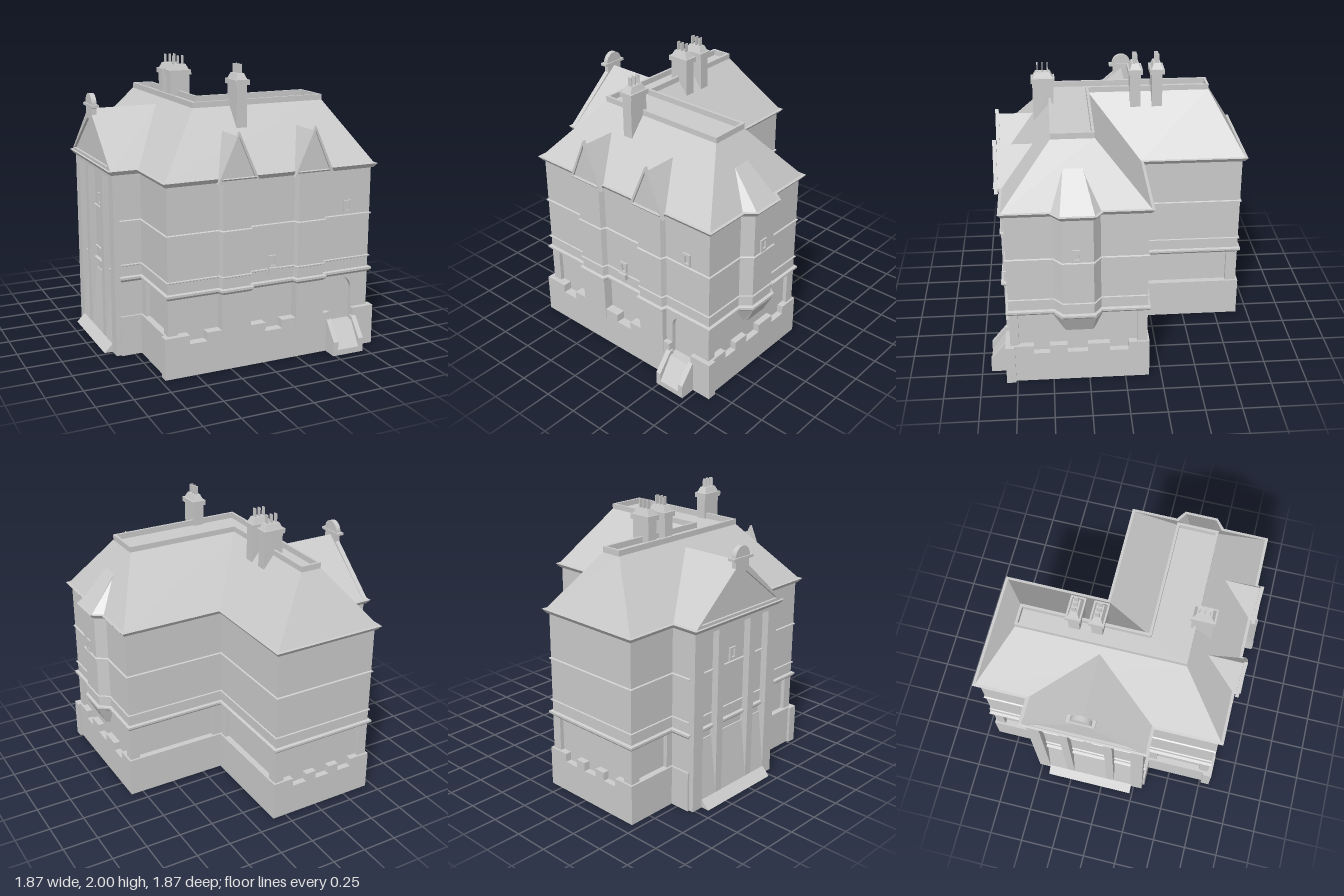
import * as THREE from 'three';

const material = new THREE.MeshStandardMaterial({ color: 0xcccccc, side: THREE.DoubleSide });
const BAYS = [-0.21, 0.345];

function add(parent, name, geometry, x = 0, y = 0, z = 0) {
  const mesh = new THREE.Mesh(geometry, material);
  mesh.name = name;
  mesh.position.set(x, y, z);
  parent.add(mesh);
  return mesh;
}

// Box given by its limits on each axis
function block(parent, name, x0, x1, y0, y1, z0, z1) {
  return add(parent, name, new THREE.BoxGeometry(x1 - x0, y1 - y0, z1 - z0),
    (x0 + x1) / 2, (y0 + y1) / 2, (z0 + z1) / 2);
}

// Closed plan moved outwards with mitred corners
function offset(points, amount) {
  const normal = (a, b) => {
    const dx = b[0] - a[0], dz = b[1] - a[1], l = Math.hypot(dx, dz);
    return [-dz / l, dx / l];
  };
  return points.map((p, i) => {
    const n = normal(points.at(i - 1), p), m = normal(p, points[(i + 1) % points.length]);
    const k = amount / (1 + n[0] * m[0] + n[1] * m[1]);
    return [p[0] + k * (n[0] + m[0]), p[1] + k * (n[1] + m[1])];
  });
}

// Flat-sided skin through stacked rings of [points, height]
function loft(rings) {
  const out = [];
  for (let r = 0; r < rings.length - 1; r++) {
    const [p, y] = rings[r], [q, h] = rings[r + 1];
    for (let i = 0; i < p.length; i++) {
      const j = (i + 1) % p.length;
      const a = [p[i][0], y, p[i][1]], b = [p[j][0], y, p[j][1]];
      const c = [q[j][0], h, q[j][1]], d = [q[i][0], h, q[i][1]];
      out.push(...a, ...b, ...c, ...a, ...c, ...d);
    }
  }
  const g = new THREE.BufferGeometry();
  g.setAttribute('position', new THREE.Float32BufferAttribute(out, 3));
  g.computeVertexNormals();
  return g;
}

const profile = (points, steps) => loft(steps.map(([o, y]) => [offset(points, o), y]));
const shapeOf = pts => new THREE.Shape(pts.map(p => new THREE.Vector2(...p)));
const extrude = (shape, depth) =>
  new THREE.ExtrudeGeometry(shape, { depth, bevelEnabled: false, curveSegments: 8 });

// House outline, each edge running left to right as seen from outside
function plan(left, details = true) {
  const bays = BAYS.flatMap(c => [[c - 0.112, 0.79], [c - 0.1, 0.83], [c + 0.1, 0.83], [c + 0.112, 0.79]]);
  const oriel = [[0.825, 0.48], [0.895, 0.42], [0.895, 0.215], [0.825, 0.165]];
  return [[-0.685, 0.79], ...(details ? bays : []), [0.825, 0.79], ...(details ? oriel : []),
    [0.825, -0.15], [0.085, -0.15], [0.085, -0.9], [-0.685, -0.9],
    [-0.685, -0.52], [left, -0.52], [left, 0.315], [-0.685, 0.315]];
}

// Ground-floor wall from a to b with sunk panels and a notched plinth
function facade(parent, name, a, b, panels = [], notches = [], plinth = 0.015, door = null) {
  const g = new THREE.Group();
  const dx = b[0] - a[0], dz = b[1] - a[1], l = Math.hypot(dx, dz);
  g.name = name;
  g.position.set(a[0], 0, a[1]);
  g.rotation.y = Math.atan2(-dz, dx);
  const wall = shapeOf([[0, 0], [l, 0], [l, 0.55], [0, 0.55]]);
  for (const [s, e] of panels) wall.holes.push(shapeOf([[s, 0.2], [e, 0.2], [e, 0.53], [s, 0.53]]));
  if (door) {
    const arch = shapeOf([[door[0], 0.2], [door[1], 0.2], [door[1], 0.43]]);
    arch.absarc((door[0] + door[1]) / 2, 0.425, (door[1] - door[0]) / 2, 0, Math.PI);
    wall.holes.push(arch);
  }
  add(g, 'panelledWall', extrude(wall, 0.03), 0, 0, -0.03);
  const top = notches.flatMap(([s, e, y = 0.225]) => [[s, 0.285], [s, y], [e, y], [e, 0.285]]);
  const base = [[-plinth, 0], [-plinth, 0.285], ...top, [l + plinth, 0.285], [l + plinth, 0]];
  add(g, 'plinth', extrude(shapeOf(base), plinth + 0.03), 0, 0, -0.03);
  parent.add(g);
}

// Gable wall with a raised sloping rim, facing +z
function gable(parent, name, half, base, apex, depth, rim) {
  const g = new THREE.Group();
  const tri = (w, y, t) => [[-w, y], [w, y], [0, t]];
  const frame = shapeOf(tri(half, base, apex));
  frame.holes.push(shapeOf(tri(half - rim * 1.3, base + 0.02, apex - rim * 1.6)));
  g.name = name;
  add(g, 'gableWall', extrude(shapeOf(tri(half - 0.005, base, apex - 0.01)), depth / 2));
  add(g, 'gableRim', extrude(frame, depth));
  parent.add(g);
  return g;
}

function chimney(parent, x, z, bottom, turned) {
  const g = new THREE.Group();
  g.name = 'chimney';
  block(g, 'shaft', -0.0375, 0.0375, bottom, 1.87, -0.0725, 0.0725);
  block(g, 'cap', -0.052, 0.052, 1.865, 1.9, -0.082, 0.082);
  const rect = (w, d) => [[-w, d], [w, d], [w, -d], [-w, -d]];
  add(g, 'capSlope', loft([[rect(0.04, 0.07), 1.9], [rect(0.025, 0.05), 1.94], [rect(0, 0), 1.94]]));
  for (const p of [-0.035, 0, 0.035]) block(g, 'pot', -0.015, 0.015, 1.93, 2, p - 0.004, p + 0.004);
  g.position.set(x, 0, z);
  if (turned) g.rotation.y = Math.PI / 2;
  parent.add(g);
}

function hatch(parent, x, y, z, turn = 0) {
  const frame = shapeOf([[-0.03, -0.045], [0.03, -0.045], [0.03, 0.045], [-0.03, 0.045]]);
  frame.holes.push(shapeOf([[-0.012, -0.025], [0.02, -0.025], [0.02, 0.03], [-0.012, 0.03]]));
  add(parent, 'smallWindow', extrude(frame, 0.014), x, y, z).rotation.y = turn;
}

export function createModel() {
  const house = new THREE.Group();
  house.name = 'house';

  // Ground floor: hollow core and wall faces
  add(house, 'innerWall', profile(plan(-0.83, false), [[-0.03, 0], [-0.03, 0.56]]));
  facade(house, 'frontGround', [-0.685, 0.79], [0.825, 0.79], [[0.07, 0.37], [0.58, 0.925]],
    [[0.14, 0.265], [0.695, 0.82], [1.19, 1.38, 0.2]], 0.035, [1.19, 1.38]);
  facade(house, 'rightGround', [0.825, 0.79], [0.825, -0.15], [[0.06, 0.87]],
    [[0.16, 0.27], [0.39, 0.53], [0.68, 0.81]]);
  facade(house, 'courtGround', [0.825, -0.15], [0.085, -0.15], [[0.07, 0.67]]);
  facade(house, 'rearWingGround', [0.085, -0.15], [0.085, -0.9], [[0.07, 0.67]]);
  facade(house, 'backGround', [0.085, -0.9], [-0.685, -0.9], [[0.07, 0.7]],
    [[0.14, 0.25], [0.33, 0.44], [0.52, 0.63]]);
  facade(house, 'rearLeftGround', [-0.685, -0.9], [-0.685, -0.52], [[0.07, 0.33]]);
  facade(house, 'sideWingBack', [-0.685, -0.52], [-0.83, -0.52]);
  facade(house, 'sideWingFront', [-0.83, 0.315], [-0.685, 0.315]);
  facade(house, 'frontLeftGround', [-0.685, 0.315], [-0.685, 0.79], [[0.07, 0.405]]);
  for (const c of BAYS) block(house, 'bayFoot', c - 0.106, c + 0.106, 0.2, 0.55, 0.76, 0.83);

  // Upper walls with cornice and string courses
  add(house, 'upperWalls', profile(plan(-0.83), [
    [-0.01, 0.53], [0, 0.53], [0.02, 0.55], [0.02, 0.565], [0, 0.57],
    [0, 0.64], [0.01, 0.645], [0.01, 0.652], [0, 0.655],
    [0, 0.95], [0.01, 0.952], [0.01, 0.96], [0, 0.965], [0, 1.28]]));
  add(house, 'eaves', profile(plan(-0.88), [[-0.015, 1.275], [0.012, 1.28], [0.035, 1.31], [-0.015, 1.315]]));

  // Oriel foot and roof
  const oriel = [[0.82, 0.5], [0.91, 0.43], [0.91, 0.205], [0.82, 0.15]];
  const foot = [[0.82, 0.42], [0.845, 0.405], [0.845, 0.225], [0.82, 0.21]];
  add(house, 'orielFoot', loft([[foot.map(() => [0.83, 0.315]), 0.41], [foot, 0.41], [oriel, 0.54]]));
  add(house, 'orielRoof', loft([[oriel, 1.312],
    [[[0.69, 0.4], [0.703, 0.4], [0.703, 0.27], [0.69, 0.27]], 1.55]]));

  // Main hipped roof with a sunken flat top
  const eave = [[-0.7, 0.805], [0.84, 0.805], [0.84, -0.165], [0.1, -0.165], [0.1, -0.915], [-0.7, -0.915]];
  const flat = [[-0.365, 0.47], [0.605, 0.47], [0.605, 0.19], [-0.22, 0.19], [-0.22, -0.68], [-0.365, -0.68]];
  add(house, 'mainRoof', loft([[eave, 1.312], [flat, 1.72]]));
  add(house, 'roofParapet', profile(flat, [[0.003, 1.71], [0.003, 1.755], [-0.015, 1.755], [-0.015, 1.715]]));
  add(house, 'flatTop', new THREE.ShapeGeometry(shapeOf(flat.map(([x, z]) => [x, -z]))), 0, 1.715, 0)
    .rotation.x = -Math.PI / 2;

  // Side wing: roof, gable and crowning finial
  const pitch = extrude(shapeOf([[-0.43, 1.312], [0.43, 1.312], [0, 1.67]]), 0.49);
  add(house, 'sideWingRoof', pitch, -0.39, 0, -0.1).rotation.y = -Math.PI / 2;
  const sideGable = gable(house, 'sideGable', 0.435, 1.31, 1.69, 0.035, 0.035);
  sideGable.position.set(-0.865, 0, -0.1);
  sideGable.rotation.y = -Math.PI / 2;
  block(house, 'finialBlock', -0.9, -0.865, 1.6, 1.69, -0.165, -0.035);
  block(house, 'finialLedge', -0.91, -0.857, 1.685, 1.703, -0.195, -0.005);
  const disc = new THREE.CylinderGeometry(0.072, 0.072, 0.035, 20);
  add(house, 'finial', disc, -0.8825, 1.703, -0.1).rotation.z = Math.PI / 2;

  // Side wing buttresses, head beam and sloping foot
  for (const [z, w] of [[-0.475, 0.09], [-0.26, 0.06], [0.06, 0.06], [0.27, 0.09]])
    block(house, 'buttress', -0.88, -0.82, 0, 1.28, z - w / 2, z + w / 2);
  block(house, 'headBeam', -0.88, -0.82, 1.25, 1.28, -0.52, 0.315);
  const slope = shapeOf([[0.94, 0], [0.88, 0.06], [0.83, 0.48], [0.82, 0.48], [0.82, 0]]);
  add(house, 'slopingFoot', extrude(slope, 0.66), 0, 0, 0.23).rotation.y = Math.PI;

  // Front dormers
  for (const c of BAYS) {
    gable(house, 'dormerGable', 0.148, 1.28, 1.61, 0.025, 0.022).position.set(c, 0, 0.832);
    add(house, 'dormerRoof', extrude(shapeOf([[-0.13, 1.3], [0.13, 1.3], [0, 1.575]]), 0.27), c, 0, 0.57);
  }

  // Entrance: sloping steps between side walls
  const stair = (name, x, width, high, low) => add(house, name,
    extrude(shapeOf([[-0.8, 0], [-0.8, high], [-0.83, high], [-0.935, low], [-0.935, 0]]), width),
    x, 0, 0).rotation.y = Math.PI / 2;
  stair('entranceRamp', 0.52, 0.165, 0.2, 0.04);
  for (const x of [0.483, 0.682]) stair('entranceSideWall', x, 0.036, 0.23, 0.1);

  // Chimneys
  chimney(house, -0.0625, 0.51, 1.56, false);
  for (const z of [-0.145, -0.3]) chimney(house, -0.2175, z, 1.6, true);

  // Small windows and sill box
  hatch(house, 0.64, 1.02, 0.79);
  hatch(house, 0.065, 0.7, 0.79);
  block(house, 'sillBox', 0.035, 0.1, 0.62, 0.665, 0.785, 0.825);
  hatch(house, 0.893, 1.015, 0.33, Math.PI / 2);
  hatch(house, -0.832, 1.02, -0.1, -Math.PI / 2);

  return house;
}
